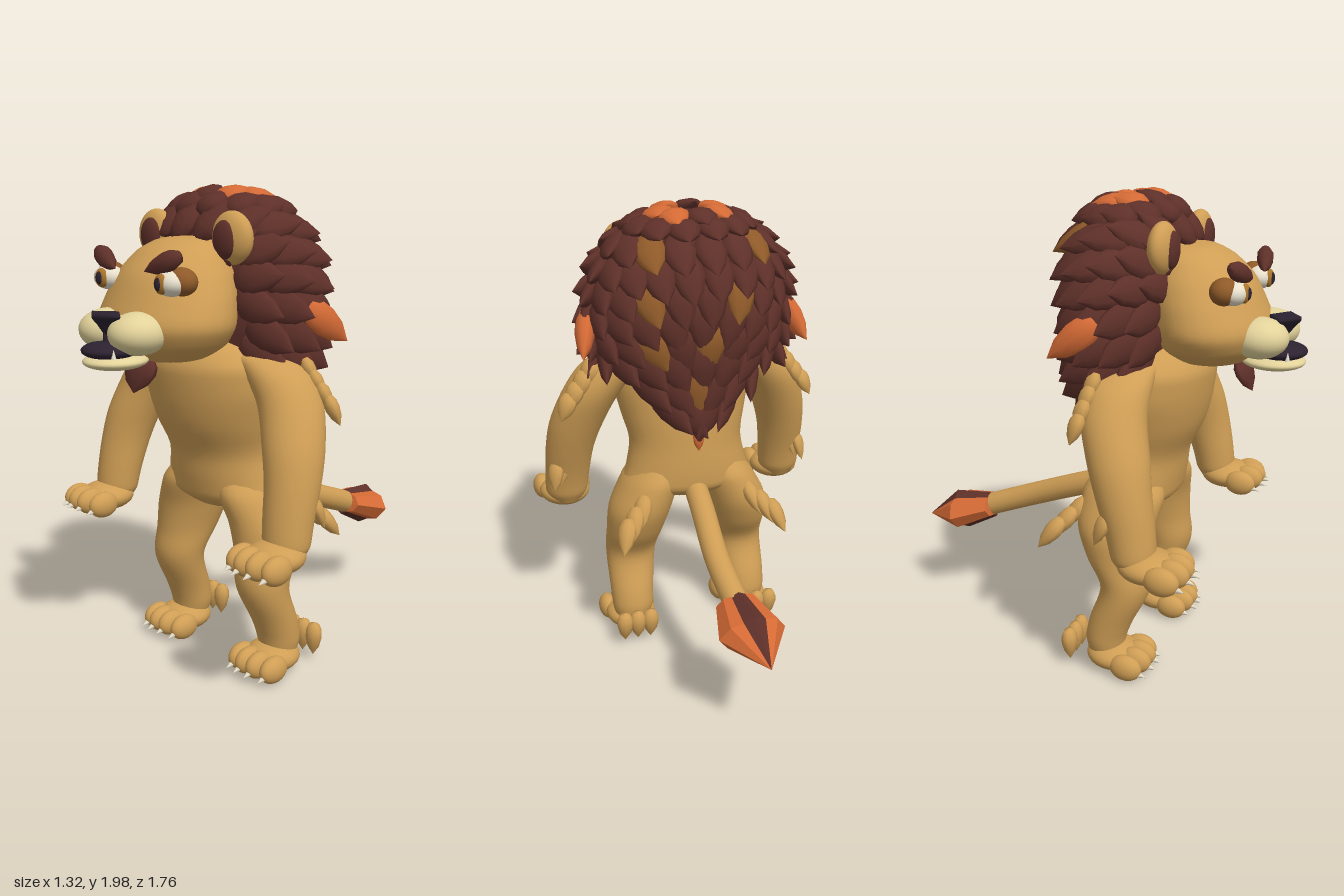
import * as THREE from 'three';

const paint = (name, color) => {
  const m = new THREE.MeshStandardMaterial({ color });
  m.name = name;
  return m;
};
const V = (x, y, z) => new THREE.Vector3(x, y, z);

// Body surface swept through elliptical sections [y, x, z, rx, rz], listed bottom to top
function loft(sections, steps = 36, seg = 28) {
  const centre = new THREE.CatmullRomCurve3(sections.map(s => V(s[1], s[0], s[2])));
  const radius = new THREE.CatmullRomCurve3(sections.map(s => V(s[3], 0, s[4])));
  const pos = [], idx = [];
  for (let i = 0; i <= steps; i++) {
    const c = centre.getPoint(i / steps), r = radius.getPoint(i / steps);
    for (let j = 0; j < seg; j++) {
      const a = (j / seg) * Math.PI * 2;
      pos.push(c.x + Math.cos(a) * Math.max(r.x, 1e-4), c.y, c.z + Math.sin(a) * Math.max(r.z, 1e-4));
      if (i === steps) continue;
      const k = (j + 1) % seg, p = i * seg, q = p + seg;
      idx.push(p + j, q + j, p + k, q + j, q + k, p + k);
    }
  }
  const g = new THREE.BufferGeometry();
  g.setAttribute('position', new THREE.Float32BufferAttribute(pos, 3));
  g.setIndex(idx);
  g.computeVertexNormals();
  return g;
}

export function createModel() {
  const root = new THREE.Group();
  root.name = 'lion';
  const tan = paint('tan fur', 0xcf9e55), brown = paint('mane brown', 0x5e3029);
  const orange = paint('mane orange', 0xd46a35), ochre = paint('mane ochre', 0x8f5a29);
  const cream = paint('muzzle cream', 0xe2d29a), dark = paint('nose dark', 0x2c2230);
  const white = paint('eye and claw white', 0xe8e0cc), amber = paint('iris amber', 0xa9742c);

  const ball = new THREE.SphereGeometry(1, 28, 20);
  // Pointed tuft: unit length along y, unit width
  const leaf = new THREE.LatheGeometry([[0, -0.3], [0.3, -0.24], [0.46, -0.05], [0.47, 0.15], [0.34, 0.42], [0, 0.7]]
    .map(p => new THREE.Vector2(...p)), 10);
  const diamond = new THREE.LatheGeometry([[0.002, 0], [0.32, 0.02], [0.5, 0.48], [0.002, 1]]
    .map(p => new THREE.Vector2(...p)), 8).toNonIndexed();
  diamond.computeVertexNormals();

  const add = (name, geo, mat, parent = root) => {
    const m = new THREE.Mesh(geo, mat);
    m.name = name;
    parent.add(m);
    return m;
  };
  const blob = (name, mat, p, r, parent) => {
    const m = add(name, ball, mat, parent);
    m.position.set(...p);
    m.scale.set(...r);
    return m;
  };
  // Orients a tuft so y runs along dir and its flat side faces normal
  const tuft = (name, mat, p, dir, normal, size, parent = root, geo = leaf) => {
    const y = dir.clone().normalize();
    const x = y.clone().cross(normal).normalize(), z = x.clone().cross(y);
    const m = add(name, geo, mat, parent);
    m.quaternion.setFromRotationMatrix(new THREE.Matrix4().makeBasis(x, y, z));
    m.position.copy(p);
    m.scale.set(...size);
    return m;
  };

  // Torso and head
  add('torso', loft([[0.67, 0, 0.2, 0, 0], [0.695, 0, 0.2, 0.15, 0.12], [0.75, 0, 0.2, 0.295, 0.18],
    [0.83, 0, 0.205, 0.275, 0.19], [0.93, 0, 0.215, 0.257, 0.195], [1.06, 0, 0.25, 0.285, 0.22],
    [1.2, 0, 0.275, 0.315, 0.225], [1.29, 0, 0.285, 0.315, 0.222], [1.37, 0, 0.28, 0.25, 0.195],
    [1.43, 0, 0.28, 0.12, 0.13]]), tan);
  add('head', loft([[1.315, 0, 0.5, 0, 0], [1.335, 0, 0.5, 0.15, 0.13], [1.4, 0, 0.505, 0.27, 0.205],
    [1.48, 0, 0.505, 0.312, 0.23], [1.57, 0, 0.48, 0.292, 0.22], [1.66, 0, 0.45, 0.25, 0.205],
    [1.74, 0, 0.42, 0.19, 0.155], [1.78, 0, 0.4, 0.12, 0.1], [1.795, 0, 0.4, 0, 0]]), tan);

  // Muzzle, nose and mouth
  blob('lowerJaw', cream, [0, 1.35, 0.75], [0.118, 0.033, 0.125]);
  blob('mouth', dark, [0, 1.393, 0.775], [0.107, 0.034, 0.105]);
  add('nose', loft([[1.45, 0, 0.79, 0.006, 0.006], [1.49, 0, 0.79, 0.04, 0.035], [1.52, 0, 0.787, 0.088, 0.062],
    [1.53, 0, 0.787, 0.084, 0.06], [1.532, 0, 0.787, 0, 0]], 24, 4), dark);
  add('lipLine', new THREE.BoxGeometry(0.008, 0.06, 0.06), dark).position.set(0, 1.445, 0.77);
  tuft('chinBeard', brown, V(0, 1.31, 0.63), V(0, -1, 0.45), V(0, 0.45, 1), [0.19, 0.15, 0.06]);

  for (const s of [-1, 1]) {
    const side = new THREE.Group();
    side.name = s > 0 ? 'leftSide' : 'rightSide';
    root.add(side);

    // Face
    blob('muzzle', cream, [s * 0.09, 1.455, 0.71], [0.11, 0.08, 0.115], side);
    const fang = add('fang', new THREE.ConeGeometry(0.01, 0.035, 8), white, side);
    fang.position.set(s * 0.092, 1.392, 0.825);
    blob('eyelid', ochre, [s * 0.208, 1.643, 0.6], [0.066, 0.052, 0.055], side);
    blob('eyeball', white, [s * 0.185, 1.637, 0.63], [0.068, 0.047, 0.055], side);
    blob('iris', amber, [s * 0.178, 1.637, 0.67], [0.034, 0.037, 0.02], side);
    blob('pupil', dark, [s * 0.176, 1.637, 0.682], [0.019, 0.025, 0.013], side);
    tuft('eyebrow', brown, V(s * 0.2, 1.72, 0.645), V(-s, -0.38, 0.25), V(s * 0.2, 0.3, 1), [0.08, 0.18, 0.07], side);
    blob('ear', tan, [s * 0.22, 1.79, 0.36], [0.1, 0.1, 0.052], side);
    blob('innerEar', brown, [s * 0.215, 1.785, 0.395], [0.06, 0.072, 0.028], side);

    // Arm and leg
    add('arm', loft([[0.62, s * 0.525, 0.38, 0.06, 0.06], [0.67, s * 0.525, 0.38, 0.095, 0.088],
      [0.76, s * 0.52, 0.365, 0.1, 0.096], [0.9, s * 0.508, 0.33, 0.108, 0.11], [1.03, s * 0.478, 0.295, 0.12, 0.122],
      [1.18, s * 0.415, 0.25, 0.128, 0.128], [1.28, s * 0.34, 0.24, 0.135, 0.13], [1.34, s * 0.27, 0.24, 0.12, 0.12],
      [1.38, s * 0.22, 0.24, 0.05, 0.05]]), tan, side);
    add('leg', loft([[0.05, s * 0.28, 0.17, 0.07, 0.07], [0.14, s * 0.277, 0.165, 0.095, 0.085],
      [0.22, s * 0.275, 0.185, 0.1, 0.092], [0.39, s * 0.262, 0.245, 0.115, 0.105], [0.52, s * 0.248, 0.205, 0.128, 0.14],
      [0.64, s * 0.225, 0.185, 0.14, 0.165], [0.76, s * 0.175, 0.195, 0.13, 0.175], [0.86, s * 0.14, 0.2, 0.08, 0.13]]), tan, side);

    // Paws with four toes and claws
    for (const [name, x, y, z] of [['hand', 0.525, 0.64, 0.44], ['foot', 0.28, 0.07, 0.205]]) {
      blob(name, tan, [s * x, y, z], [0.115, 0.062, 0.12], side);
      for (let i = 0; i < 4; i++) {
        const dx = (i - 1.5) * 0.061, inner = i === 1 || i === 2;
        const tz = z + (inner ? 0.105 : 0.085), ty = y + (inner ? 0 : -0.008);
        blob(name + 'Toe', tan, [s * x + dx, ty, tz], [0.042, 0.056, 0.07], side);
        const claw = add(name + 'Claw', new THREE.ConeGeometry(0.014, 0.035, 8), white, side);
        claw.position.set(s * x + dx, ty - 0.022, tz + 0.075);
        claw.rotation.x = 1.85;
      }
    }

    // Fur tufts on shoulder, elbow, hip and heel
    for (let i = 0; i < 4; i++)
      tuft('shoulderTuft', tan, V(s * (0.43 + i * 0.035), 1.31 - i * 0.045, 0.17 - i * 0.006),
        V(s * 0.45, -1, -0.2), V(s, 0.3, -1), [0.09, 0.13, 0.06], side);
    for (let i = 0; i < 2; i++)
      tuft('elbowTuft', tan, V(s * (0.55 + i * 0.035), 0.83 - i * 0.02, 0.3 - i * 0.02),
        V(s * 0.15, -1, -0.35), V(s, 0, -1), [0.08, 0.14, 0.05], side);
    for (let i = 0; i < 3; i++) {
      tuft('hipTuft', tan, V(s * (0.25 + i * 0.045), 0.7 - i * 0.035, 0.03 - i * 0.035),
        V(s * 0.35, -1, -0.75), V(s, 0.3, -1), [0.09, 0.17, 0.07], side);
      tuft('heelTuft', tan, V(s * (0.23 + i * 0.06), 0.13, 0.022),
        V(0, -1, 0.05), V(0, 0, -1), [0.08, 0.145, 0.07], side);
    }
  }

  // Mane: rows [y, half width, half depth, largest angle from the back]
  const rows = [[1.935, 0.13, 0.1, 180], [1.9, 0.23, 0.16, 180], [1.83, 0.31, 0.205, 180], [1.74, 0.365, 0.22, 160],
    [1.65, 0.395, 0.225, 150], [1.55, 0.41, 0.225, 145], [1.45, 0.41, 0.222, 142], [1.37, 0.37, 0.215, 138],
    [1.27, 0.29, 0.2, 70], [1.17, 0.21, 0.185, 55]];
  const ochreAt = [[2, -45], [2, 50], [4, -30], [4, 38], [6, -8], [6, 30], [8, 14]];
  const zMid = 0.175;
  const mane = new THREE.Group();
  mane.name = 'mane';
  root.add(mane);
  const core = rows.map(([y, w, b]) => [y, 0, zMid, w * 0.95, b * 0.95]).reverse();
  add('maneCore', loft([[1.12, 0, zMid, 0, 0], ...core, [1.95, 0, zMid, 0, 0]]), brown, mane);
  rows.forEach(([y, w, b, max], r) => {
    const n = Math.max(5, Math.round((max / 180) * Math.PI * (w + b) / 0.105));
    const t = THREE.MathUtils.clamp((y - 1.55) / 0.4, -0.15, 0.97);
    for (let i = 0; i < n; i++) {
      const deg = -max + (2 * max * (i + (r % 2 ? 0.5 : 0.25))) / n, a = deg * Math.PI / 180;
      const p = V(w * Math.sin(a), y, zMid - b * Math.cos(a));
      const nrm = V(Math.sin(a) / w, 0, -Math.cos(a) / b).normalize();
      nrm.y = t / Math.sqrt(1.02 - t * t);
      nrm.normalize();
      // Hair sweeps back and down, flares outward around the face and lies flat behind
      const front = Math.max(nrm.z, 0) * 4;
      const d = V(p.x * front, -0.6 + (y - 1.5) * front, -1);
      const lift = r < 3 ? 0.14 : 0.1 + 0.28 * Math.abs(nrm.x);
      d.addScaledVector(nrm, -d.dot(nrm)).normalize().addScaledVector(nrm, lift);
      let mat = brown;
      if (r === 0 && Math.abs(deg) > 30 && Math.abs(deg) < 155) mat = orange;
      else if (ochreAt.some(([k, g]) => k === r && Math.abs(deg - g) < max / n)) mat = ochre;
      const len = r < 2 ? 0.15 : r < 7 ? 0.22 : r < 8 ? 0.25 : 0.28;
      tuft('maneTuft', mat, p, d, nrm, [0.145, len, 0.075], mane);
    }
  });
  for (const s of [-1, 1])
    tuft('sideManeTuft', orange, V(s * 0.45, 1.5, 0.14), V(s * 0.2, -0.55, -0.7), V(s, 0, 0.2), [0.13, 0.25, 0.09], mane);
  tuft('lowBackTuft', orange, V(0, 1.0, 0.015), V(0, -1, -0.1), V(0, 0, -1), [0.05, 0.09, 0.04], mane);

  // Tail with a faceted tip
  const tailPath = new THREE.CatmullRomCurve3([V(0, 0.74, 0.06), V(0.01, 0.69, -0.08), V(0.03, 0.59, -0.33), V(0.02, 0.485, -0.6)]);
  add('tail', new THREE.TubeGeometry(tailPath, 24, 0.052, 16), tan);
  const tipDir = V(-0.02, -0.1, -0.34), up = V(0, 1, 0);
  tuft('tailTip', orange, V(0.02, 0.505, -0.54), tipDir, up, [0.28, 0.357, 0.16], root, diamond);
  tuft('tailTipStripe', brown, V(0.02, 0.505, -0.54), tipDir, up, [0.14, 0.357, 0.19], root, diamond);
  return root;
}
